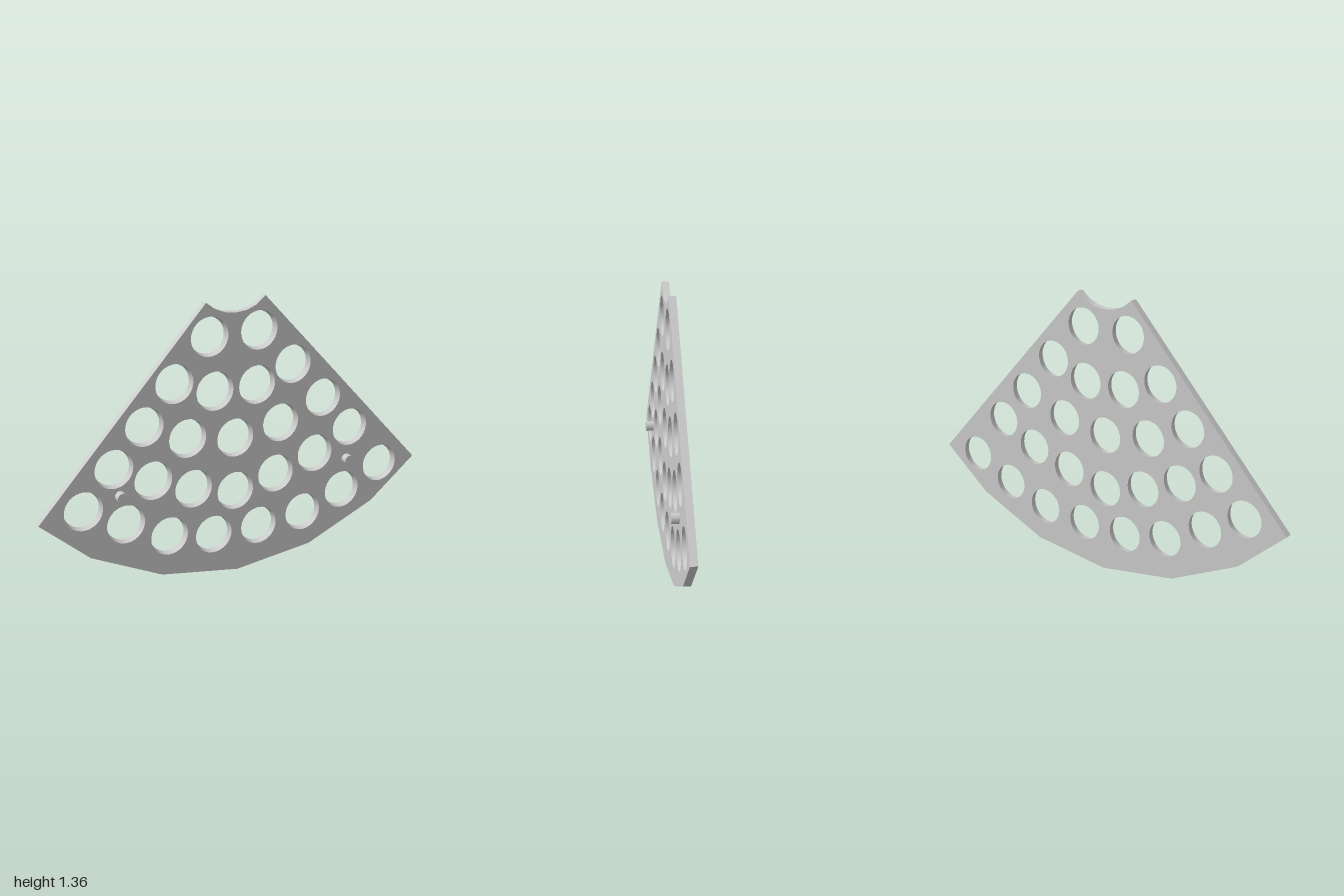
import * as THREE from 'three';
import { toCreasedNormals } from 'three/addons/utils/BufferGeometryUtils.js';

const THICK = 0.035;
const R_FRONT = 0.095, R_BACK = 0.088;

// Hole centres, one row per arc from the notch down to the rim
const HOLE_ROWS = [
  [[-0.14, 1.2], [0.115, 1.2]],
  [[-0.32, 1.0], [-0.115, 0.935], [0.105, 0.935], [0.297, 1.01]],
  [[-0.473, 0.817], [-0.257, 0.725], [-0.01, 0.688], [0.233, 0.725], [0.465, 0.817]],
  [[-0.628, 0.637], [-0.435, 0.546], [-0.23, 0.468], [-0.01, 0.418], [0.208, 0.468], [0.425, 0.535], [0.62, 0.64]],
  [[-0.783, 0.458], [-0.577, 0.354], [-0.358, 0.25], [-0.126, 0.212], [0.116, 0.212], [0.361, 0.236], [0.583, 0.314], [0.8, 0.418]],
];

// Fan outline: faceted rim, straight sides, concave notch on top
const OUTLINE = [
  [-1, 0.428], [-0.757, 0.22], [-0.4, 0.057], [0, 0], [0.4, 0.057], [0.757, 0.22], [1, 0.422],
  [0.147, 1.362], [0.1, 1.324], [0.05, 1.304], [-0.003, 1.299], [-0.055, 1.304], [-0.108, 1.324], [-0.157, 1.362],
];

function createPlate(material) {
  const holes = HOLE_ROWS.flat();
  const shape = new THREE.Shape(OUTLINE.map(([x, y]) => new THREE.Vector2(x, y)));
  for (const [x, y] of holes) {
    shape.holes.push(new THREE.Path().absarc(x, y, R_FRONT, 0, Math.PI * 2, true));
  }
  const geo = new THREE.ExtrudeGeometry(shape, { depth: THICK, bevelEnabled: false, curveSegments: 18 });
  geo.translate(0, 0, -THICK);

  // Narrow each hole slightly towards the back
  const pos = geo.attributes.position;
  for (let i = 0; i < pos.count; i++) {
    if (pos.getZ(i) > -THICK / 2) continue;
    const px = pos.getX(i), py = pos.getY(i);
    const hole = holes.find(([x, y]) => Math.hypot(px - x, py - y) < R_FRONT + 0.0005);
    if (!hole) continue;
    const k = R_BACK / R_FRONT;
    pos.setXY(i, hole[0] + (px - hole[0]) * k, hole[1] + (py - hole[1]) * k);
  }
  const plate = new THREE.Mesh(toCreasedNormals(geo, 0.3), material);
  plate.name = 'perforatedPlate';
  return plate;
}

export function createModel() {
  const group = new THREE.Group();
  group.name = 'fanPlate';
  const material = new THREE.MeshStandardMaterial({ color: 0xcccccc });
  group.add(createPlate(material));

  // Two small locating pegs on the front face
  const pegGeo = new THREE.CylinderGeometry(0.025, 0.025, 0.037, 12).rotateX(Math.PI / 2);
  for (const [name, x, y] of [['rightPeg', -0.604, 0.502], ['leftPeg', 0.604, 0.477]]) {
    const peg = new THREE.Mesh(pegGeo, material);
    peg.name = name;
    peg.position.set(x, y, 0.0185);
    group.add(peg);
  }
  return group;
}
